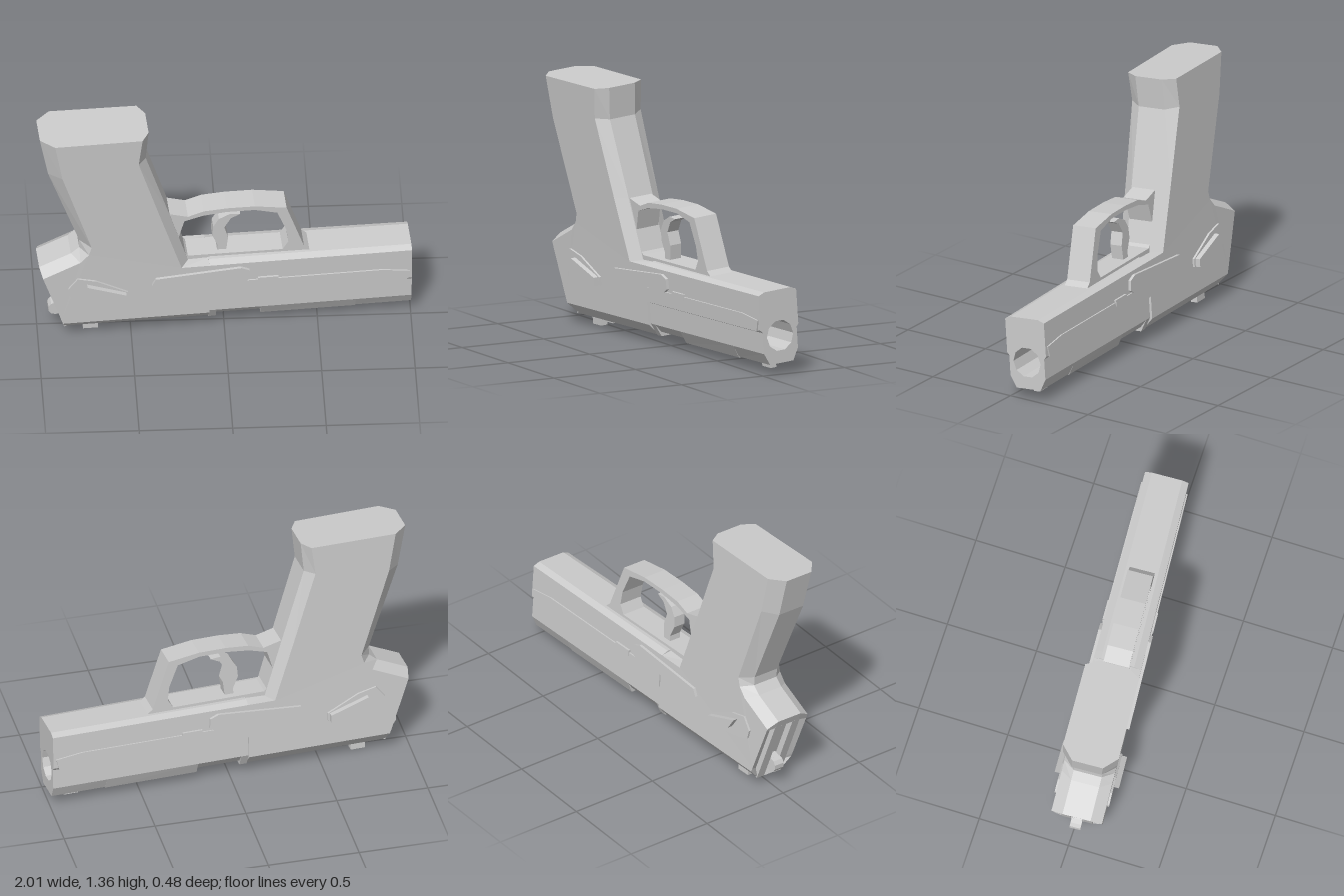
import * as THREE from 'three';

const material = new THREE.MeshStandardMaterial({ color: 0xcccccc, flatShading: true, side: THREE.DoubleSide });
const v2 = (pts) => pts.map(([x, y]) => new THREE.Vector2(x, y));

// Half width of the body at a point: tapers to the muzzle, flares up the grip
const halfWidth = (x, y) => 0.13 - 0.01 * x + 0.016 * Math.max(0, y - 0.45);

// Turns unit widths (z = -1..1) into real ones
function widen(geo) {
  const p = geo.attributes.position;
  for (let i = 0; i < p.count; i++) p.setZ(i, p.getZ(i) * halfWidth(p.getX(i), p.getY(i)));
  geo.computeVertexNormals();
  return geo;
}

// Prism with chamfered edges: rows are [outer x, outer y, side-face x, side-face y]
function chamferedPrism(rows, core) {
  const outer = v2(rows.map((r) => [r[0], r[1]]));
  const inner = v2(rows.map((r) => [r[2], r[3]]));
  if (THREE.ShapeUtils.area(inner) < 0) { outer.reverse(); inner.reverse(); }
  const n = rows.length, pos = [], idx = [];
  for (const [ring, z] of [[inner, -1], [outer, -core], [outer, core], [inner, 1]])
    for (const p of ring) pos.push(p.x, p.y, z);
  for (let k = 0; k < 3; k++)
    for (let i = 0; i < n; i++) {
      const a = k * n + i, b = k * n + (i + 1) % n;
      idx.push(a, b, b + n, a, b + n, a + n);
    }
  for (const [a, b, c] of THREE.ShapeUtils.triangulateShape(inner, []))
    idx.push(c, b, a, a + 3 * n, b + 3 * n, c + 3 * n);
  const geo = new THREE.BufferGeometry();
  geo.setAttribute('position', new THREE.Float32BufferAttribute(pos, 3));
  geo.setIndex(idx);
  return geo.toNonIndexed();
}

// Flat outline extruded from z0 to z1
function slab(shape, z0, z1) {
  const s = Array.isArray(shape) ? new THREE.Shape(v2(shape)) : shape;
  return new THREE.ExtrudeGeometry(s, { depth: z1 - z0, bevelEnabled: false, curveSegments: 5 }).translate(0, 0, z0);
}

export function createModel() {
  const root = new THREE.Group();
  const body = new THREE.Group();
  body.name = 'body';
  body.rotation.set(0.07, 0.066, 0);
  body.position.z = -0.054;
  root.add(body);

  const add = (name, geo) => {
    const mesh = new THREE.Mesh(geo, material);
    mesh.name = name;
    body.add(mesh);
    return mesh;
  };

  // Raised plate on both sides, following the taper
  const sidePlates = (name, pts, rise) => {
    for (const s of [1, -1]) {
      const geo = s > 0 ? slab(pts, -0.01, rise) : slab(pts, -rise, 0.01);
      const p = geo.attributes.position;
      for (let i = 0; i < p.count; i++) p.setZ(i, p.getZ(i) + s * halfWidth(p.getX(i), 0));
      geo.computeVertexNormals();
      add(name + (s > 0 ? 'Front' : 'Back'), geo);
    }
  };

  // Grip and rear frame in one chamfered piece, notched at the rear
  add('gripAndFrame', widen(chamferedPrism([
    [-1, 1.355, -0.925, 1.355],
    [-0.955, 1.12, -0.885, 1.13],
    [-0.785, 0.64, -0.725, 0.63],
    [-0.785, 0.59, -0.74, 0.58],
    [-0.83, 0.55, -0.785, 0.53],
    [-1, 0.47, -0.985, 0.435],
    [-0.985, 0.425, -0.98, 0.42],
    [-0.945, 0.41, -0.975, 0.405],
    [-0.845, 0.1, -0.885, 0.14],
    [-0.865, 0.05, -0.875, 0.115],
    [-0.09, 0.05, -0.09, 0.115],
    [-0.09, 0.45, -0.09, 0.44],
    [-0.2, 0.445, -0.24, 0.44],
    [-0.3, 0.77, -0.345, 0.77],
    [-0.43, 1.18, -0.475, 1.19],
    [-0.415, 1.355, -0.455, 1.355],
  ], 0.55)));

  // Cheeks either side of the rear slot
  for (const s of [1, -1])
    add('rearCheek', slab([[-0.987, 0.43], [-0.94, 0.42], [-0.835, 0.07], [-0.865, 0.05]],
      s > 0 ? 0.035 : -0.085, s > 0 ? 0.085 : -0.035));

  // Slide in segments: lowered port in the middle, bore in the last one
  for (const [x0, x1, floor, bore] of [
    [-0.09, -0.05, 0.05, false], [-0.05, 0.19, 0.075, false],
    [0.19, 0.7, 0.05, false], [0.7, 1, 0.055, true],
  ]) {
    const half = [[0.62, floor], [0.9, 0.12], [0.9, 0.235], [1, 0.25], [1, 0.44], [0.7, 0.455]];
    const section = new THREE.Shape(v2([...half, ...half.map(([z, y]) => [-z, y]).reverse()]));
    if (bore) section.holes.push(new THREE.Path().absellipse(0, 0.205, 0.7, 0.085, 0, Math.PI * 2, true));
    add('slide', widen(slab(section, x0, x1).rotateY(Math.PI / 2)));
  }

  // Long rail above the slide panel
  sidePlates('rail', [[-0.09, 0.245], [0.97, 0.245], [0.985, 0.305], [0.84, 0.325], [-0.09, 0.325]], 0.008);
  sidePlates('railTab', [[0.17, 0.305], [0.28, 0.305], [0.28, 0.34], [0.17, 0.34]], 0.012);

  // Slide stop levers
  sidePlates('slideStop', [[-0.4, 0.345], [-0.1, 0.33], [0.1, 0.325], [0.13, 0.345], [0.125, 0.4],
    [0.08, 0.42], [-0.38, 0.385]], 0.016);

  // Safety catches: rounded base and raised lever
  sidePlates('safetyBase', [[-0.85, 0.36], [-0.84, 0.31], [-0.77, 0.285], [-0.6, 0.255], [-0.53, 0.265],
    [-0.53, 0.31], [-0.7, 0.4], [-0.8, 0.425]], 0.012);
  sidePlates('safetyLever', [[-0.75, 0.385], [-0.71, 0.32], [-0.6, 0.265], [-0.54, 0.265], [-0.54, 0.31]], 0.04);

  // Trigger guard
  const guard = new THREE.Shape(v2([[-0.27, 0.44], [0.47, 0.44], [0.425, 0.48], [0.33, 0.755], [0.16, 0.78],
    [0.01, 0.78], [-0.115, 0.77], [-0.2, 0.74], [-0.31, 0.77]]));
  guard.holes.push(new THREE.Path(v2([[-0.2, 0.47], [-0.24, 0.52], [-0.25, 0.6], [-0.22, 0.71], [-0.12, 0.74],
    [0.01, 0.755], [0.16, 0.755], [0.28, 0.725], [0.33, 0.6], [0.34, 0.52], [0.31, 0.47]])));
  add('triggerGuard', slab(guard, -0.07, 0.07));

  // Trigger
  add('trigger', slab([[0.01, 0.46], [0.02, 0.55], [0, 0.62], [0.035, 0.68], [0.085, 0.705], [0.03, 0.71],
    [-0.03, 0.68], [-0.06, 0.63], [-0.065, 0.57], [-0.035, 0.5], [-0.04, 0.46]], -0.035, 0.035));

  // Hammer
  add('hammer', new THREE.CylinderGeometry(0.04, 0.04, 0.06, 10).rotateX(Math.PI / 2).translate(-0.905, 0.135, 0));
  add('hammerArm', slab([[-0.93, 0.165], [-0.93, 0.1], [-0.84, 0.09], [-0.84, 0.2]], -0.025, 0.025));

  // Sights: notched pair at the rear, single post at the muzzle
  for (const s of [1, -1])
    add('rearSight', slab([[-0.76, 0.005], [-0.68, 0.005], [-0.68, 0.06], [-0.76, 0.06]], s * 0.037 - 0.02, s * 0.037 + 0.02));
  add('rearSightBase', slab([[-0.76, 0.03], [-0.68, 0.03], [-0.68, 0.06], [-0.76, 0.06]], -0.057, 0.057));
  add('frontSight', slab([[0.82, 0.06], [0.835, 0.015], [0.915, 0.015], [0.915, 0.06]], -0.018, 0.018));

  return root;
}
